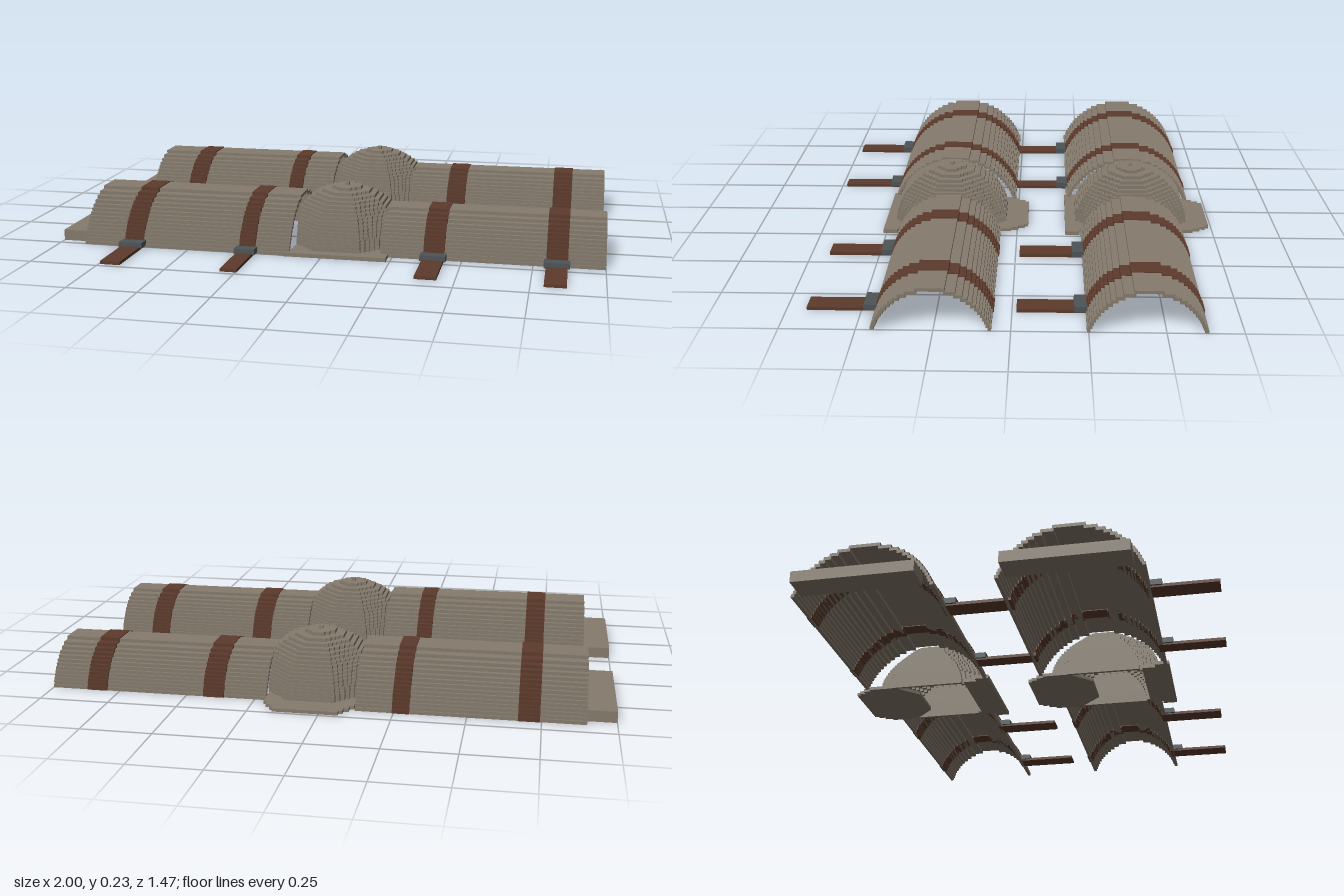
import * as THREE from 'three';
import { mergeGeometries } from 'three/addons/utils/BufferGeometryUtils.js';

const material = (name, color) => Object.assign(new THREE.MeshStandardMaterial({ color }), { name });
const STEP = 0.012; // height of one stair step

// Box given by its minimum and maximum corners
function box(x0, x1, y0, y1, z0, z1) {
  return new THREE.BoxGeometry(x1 - x0, y1 - y0, z1 - z0)
    .translate((x0 + x1) / 2, (y0 + y1) / 2, (z0 + z1) / 2);
}

// Stair-stepped arched shell along x, made of one plank per level and side
function arch(x0, x1, half, height, grow = 0) {
  const radius = (half * half + height * height) / (2 * height);
  const drop = radius - height;
  const width = (y) => Math.sqrt(Math.max(0, radius ** 2 - (y + drop) ** 2));
  const levels = Math.round(height / STEP);
  const h = height / levels;
  const parts = [];
  for (let k = 0; k < levels; k++) {
    const y0 = k * h, y1 = (k + 1) * h + grow;
    const outer = width(k * h + (k ? h / 2 : 0)) + grow;
    if (k === levels - 1) {
      parts.push(box(x0, x1, y0 - grow, y1, -outer, outer));
      continue;
    }
    const inner = Math.min(width((k + 1.5) * h) - 0.006, outer - 0.012) - grow;
    parts.push(box(x0, x1, y0, y1, inner, outer), box(x0, x1, y0, y1, -outer, -inner));
  }
  return mergeGeometries(parts);
}

// Octagonal outline with stair-stepped corners, cut flat at x = +-clip
function octagon(w, clip) {
  const a = w * 0.414, x = Math.min(w, clip), z = w + a - x;
  const n = Math.max(1, Math.round((w - z) / 0.014));
  const quarter = [];
  for (let i = 0; i <= n; i++) {
    const px = x + ((a - x) * i) / n, pz = z + ((w - z) * i) / n;
    if (i) quarter.push([px, z + ((w - z) * (i - 1)) / n]);
    quarter.push([px, pz]);
  }
  const back = [...quarter].reverse();
  return [
    ...quarter, ...back.map(([p, q]) => [-p, q]),
    ...quarter.map(([p, q]) => [-p, -q]), ...back.map(([p, q]) => [p, -q]),
  ].map(([p, q]) => new THREE.Vector2(p, q));
}

// Lay an extruded outline flat, its thickness rising from y
function flat(shape, thickness, y) {
  return new THREE.ExtrudeGeometry(shape, { depth: thickness, bevelEnabled: false })
    .rotateX(-Math.PI / 2).translate(0, y, 0);
}

// Hollow stepped dome with flattened sides
function dome(radius, clip) {
  const levels = 18, h = radius / levels, parts = [];
  const width = (k) => Math.sqrt(Math.max(0, radius ** 2 - ((k + 0.4) * h) ** 2));
  for (let k = 0; k < levels; k++) {
    const w = width(k);
    const shape = new THREE.Shape(octagon(w, clip));
    if (k < levels - 1) {
      const inner = Math.min(width(k + 1) - 0.006, w - 0.012);
      shape.holes.push(new THREE.Path(octagon(inner, clip - 0.012)));
    }
    parts.push(flat(shape, h, k * h));
  }
  return mergeGeometries(parts);
}

export function createModel() {
  const model = new THREE.Group();
  model.name = 'legArmourPair';
  const plate = material('taupe plate', 0x857b6d);
  const leather = material('brown leather', 0x5c3a2b);
  const iron = material('dark iron', 0x4e5557);
  const KNEE = 0.048;

  function makeLeg(name, z) {
    const leg = new THREE.Group();
    leg.name = name;
    leg.position.z = z;
    model.add(leg);
    const add = (part, geometry, mat) => {
      const mesh = new THREE.Mesh(geometry, mat);
      mesh.name = part;
      leg.add(mesh);
      return mesh;
    };

    // Shells and the slab at the upper end
    add('thighPlate', arch(-0.9, -0.117, 0.246, 0.18), plate);
    add('shinPlate', arch(0.208, 1, 0.195, 0.15), plate);
    add('hipSlab', box(-1, -0.9, 0, 0.04, -0.21, 0.21), plate);

    // Knee dome with its small tip
    add('kneeDome', dome(0.215, 0.163), plate).position.x = KNEE;
    add('kneeTip', box(KNEE - 0.008, KNEE + 0.008, 0.213, 0.226, -0.008, 0.008), plate);

    // Front knee flange
    add('kneeFlange', mergeGeometries([
      box(KNEE - 0.188, KNEE + 0.188, 0, 0.014, 0.2, 0.254),
      box(KNEE - 0.165, KNEE + 0.165, 0, 0.014, 0.15, 0.2),
    ]), plate);

    // Tapered fan behind the knee; shape y points to -z
    const half = [[0.115, 0.3], [0.115, 0.285], [0.128, 0.285], [0.128, 0.262],
      [0.146, 0.262], [0.146, 0.235], [0.16, 0.235], [0.16, 0.13], [0.08, 0.05]];
    const fan = [...half, ...[...half].reverse().map(([x, y]) => [-x, y])]
      .map(([x, y]) => new THREE.Vector2(x, y));
    add('kneeFan', flat(new THREE.Shape(fan), 0.012, 0), plate).position.x = KNEE;

    // Straps with buckles and loose tails
    const straps = [
      [-0.745, -0.672, 0.246, 0.18, 0.473], [-0.305, -0.245, 0.246, 0.18, 0.473],
      [0.362, 0.438, 0.195, 0.15, 0.424], [0.795, 0.87, 0.195, 0.15, 0.424],
    ];
    for (const [x0, x1, w, h, end] of straps) {
      add('strap', arch(x0, x1, w, h, 0.003), leather);
      add('strapTail', box(x0, x1, 0, 0.011, w - 0.01, end), leather);
      add('buckle', box(x0 - 0.008, x1 + 0.008, 0.006, 0.026, w - 0.006, w + 0.038), iron);
    }
  }

  makeLeg('frontLeg', 0.258);
  makeLeg('backLeg', -0.439);
  return model;
}
